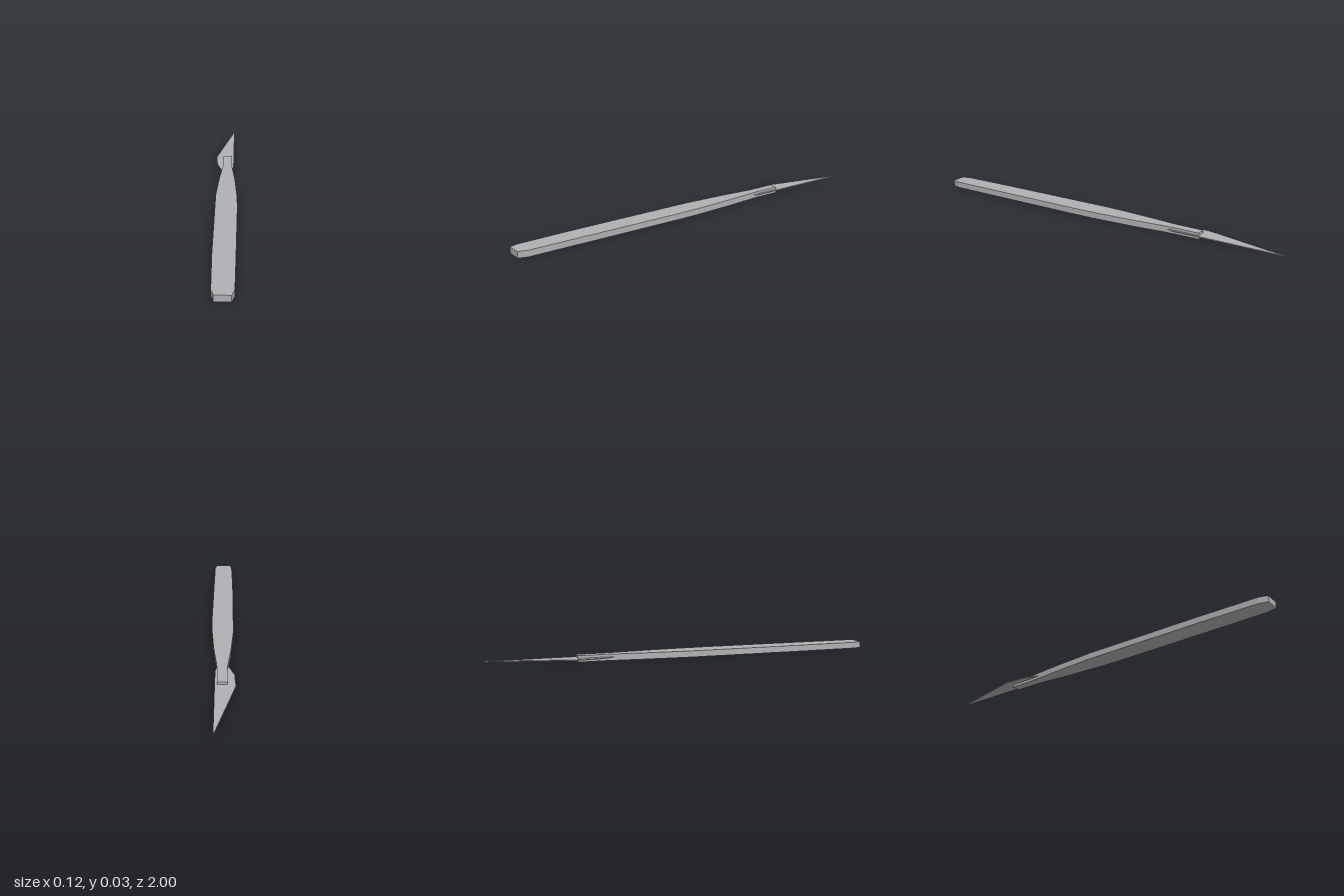
import * as THREE from 'three';

// Flat plate: outline given as [x, z] points, extruded from y0 to y1
function plate(name, points, y0, y1, material) {
  const shape = new THREE.Shape(points.map(([x, z]) => new THREE.Vector2(x, -z)));
  const geometry = new THREE.ExtrudeGeometry(shape, { depth: y1 - y0, bevelEnabled: false });
  geometry.rotateX(-Math.PI / 2);
  geometry.translate(0, y0, 0);
  const mesh = new THREE.Mesh(geometry, material);
  mesh.name = name;
  return mesh;
}

export function createModel() {
  const group = new THREE.Group();
  group.name = 'scalpel';
  const steel = new THREE.MeshStandardMaterial({ color: 0xb0b1b3 });
  steel.name = 'steel grey';

  // Handle: chamfered butt, broad grip, narrow neck and blade mount
  group.add(plate('handle', [
    [-0.035, 1], [0.04, 1], [0.053, 0.955], [0.056, 0.65], [0.06, 0.14], [0.057, 0],
    [0.046, -0.2], [0.03, -0.37], [0.027, -0.42], [0.027, -0.555],
    [-0.021, -0.555], [-0.021, -0.42], [-0.025, -0.37], [-0.038, -0.23],
    [-0.052, 0], [-0.052, 0.65], [-0.047, 0.955],
  ], 0, 0.032, steel));

  // Blade: straight spine, slanted cutting edge and a heel running back to the neck
  group.add(plate('blade', [
    [-0.027, -0.37], [0.027, -0.37], [0.037, -0.42], [0.038, -1],
    [-0.06, -0.57], [-0.055, -0.46],
  ], 0.014, 0.019, steel));

  return group;
}
